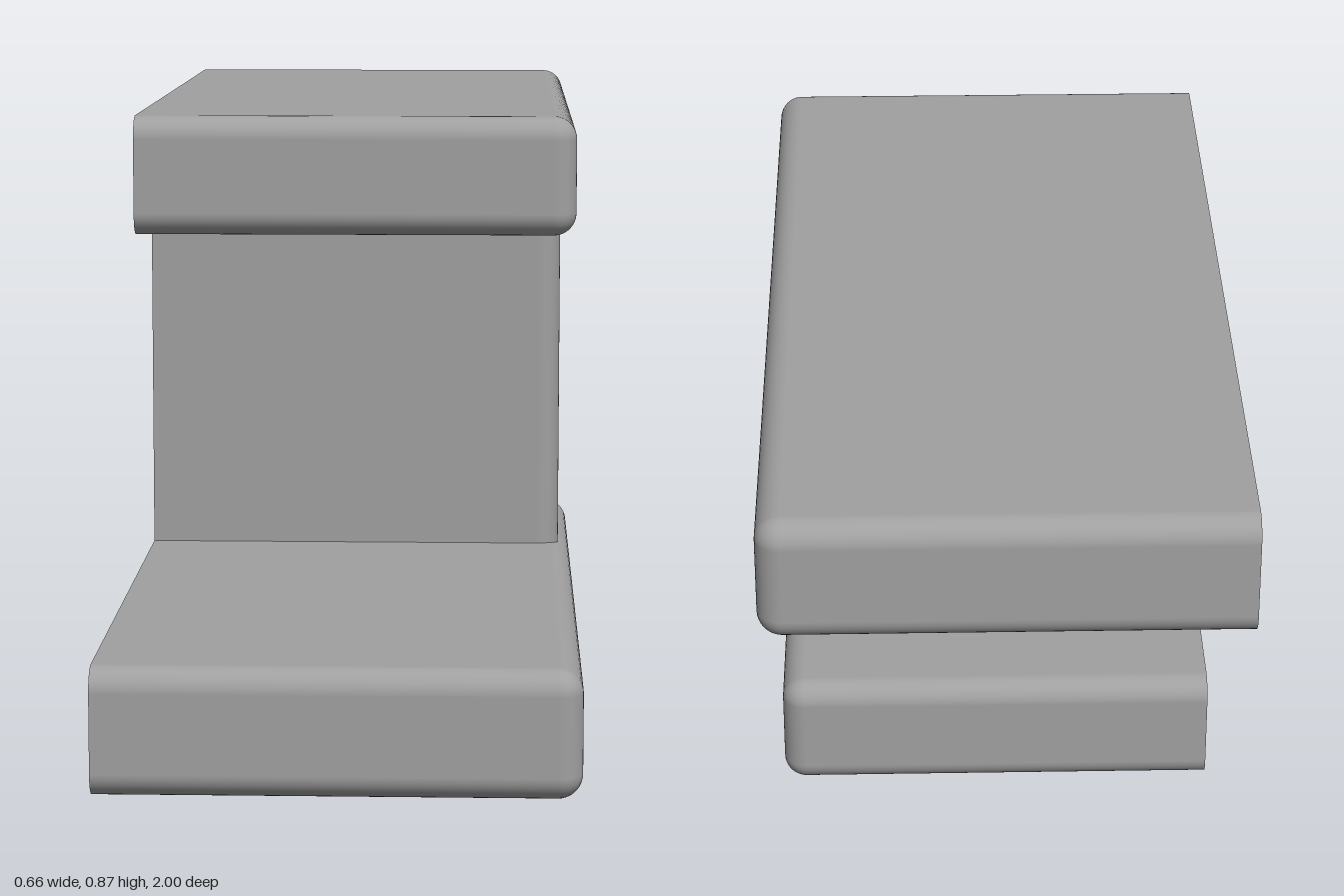
import * as THREE from 'three';
import { RoundedBoxGeometry } from 'three/addons/geometries/RoundedBoxGeometry.js';

const CUT = -0.33; // plane of the flat end face

// Rounded bar running along x, sliced flat at the CUT plane
function slicedBar(xEnd, y0, y1, z0, z1, radius) {
  const geo = new RoundedBoxGeometry(2 * (xEnd - CUT), y1 - y0, z1 - z0, 6, radius);
  geo.translate(CUT, (y0 + y1) / 2, (z0 + z1) / 2);
  const pos = geo.attributes.position;
  const normal = geo.attributes.normal;
  // Flatten the far half onto the slice plane so it becomes the end cap
  for (let i = 0; i < pos.count; i += 3) {
    const flat = [0, 1, 2].every((k) => pos.getX(i + k) < CUT);
    for (let k = i; k < i + 3; k++) {
      if (pos.getX(k) < CUT) pos.setX(k, CUT);
      if (flat) normal.setXYZ(k, -1, 0, 0);
    }
  }
  return geo;
}

export function createModel() {
  const group = new THREE.Group();
  group.name = 'offsetBeam';
  const grey = new THREE.MeshStandardMaterial({ color: 0xa0a0a0 });
  grey.name = 'plain grey';

  const add = (name, geometry) => {
    const mesh = new THREE.Mesh(geometry, grey);
    mesh.name = name;
    group.add(mesh);
  };

  // Lower plate reaches forward, upper plate reaches back
  add('lowerPlate', slicedBar(0.33, 0, 0.178, -0.353, 1, 0.034));
  add('upperPlate', slicedBar(0.33, 0.692, 0.87, -1, 0.353, 0.034));

  // Upright web, with its ends sunk into both plates
  add('uprightWeb', slicedBar(0.311, 0.13, 0.74, -0.102, 0.075, 0.034));

  return group;
}
